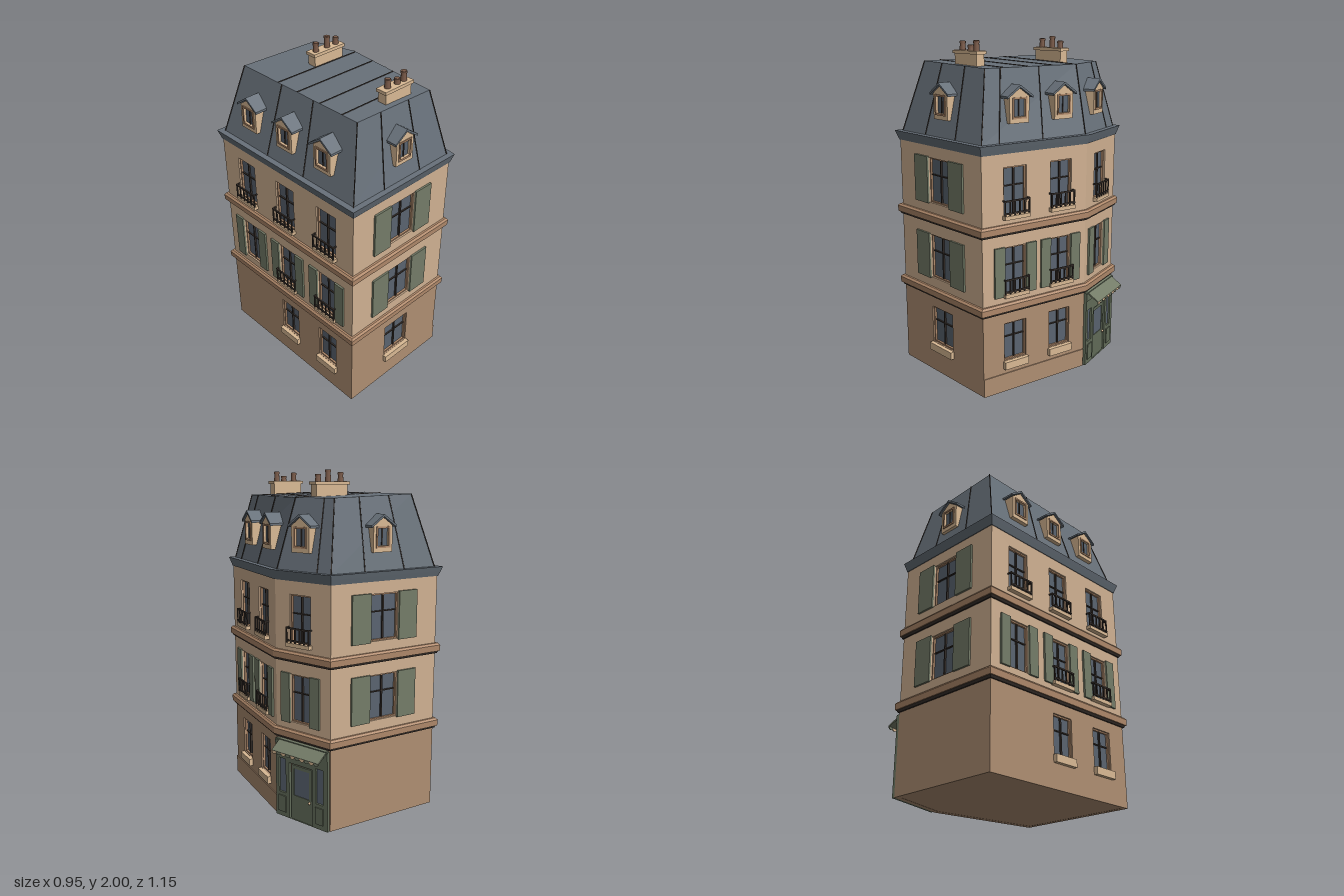
import * as THREE from 'three';

const mat = (name, color, side = THREE.FrontSide) => {
  const m = new THREE.MeshStandardMaterial({ color, side });
  m.name = name;
  return m;
};
const M = {
  wall: mat('upper plaster', 0xd0b192),
  lower: mat('ground floor stone', 0xae8e72),
  band: mat('moulding', 0xb28b6c),
  roof: mat('slate', 0x68717a),
  shutter: mat('shutter green', 0x747c68),
  shop: mat('shop green', 0x626c59),
  glass: mat('glass', 0x5a6470),
  iron: mat('dark iron', 0x3a322d),
  trim: mat('cream trim', 0xd9b994),
  pot: mat('clay', 0x7a5a48),
};

// Footprint as [x, z], running front, right (two segments), back, left
const FOOT = [[-0.455, 0.55], [0.305, 0.55], [0.40, -0.165], [0.28, -0.55], [-0.455, -0.55]];
const topY = (x) => 1.865 - (x + 0.33) * 0.03;
const TOP = [[-0.33, 0.445], [0.215, 0.445], [0.278, -0.19], [0.194, -0.45], [-0.33, -0.45]]
  .map(([x, z]) => [x, topY(x), z]);

function normal(i) {
  const a = FOOT[i % 5], b = FOOT[(i + 1) % 5];
  const l = Math.hypot(b[0] - a[0], b[1] - a[1]);
  return [-(b[1] - a[1]) / l, (b[0] - a[0]) / l];
}
// Footprint grown by d, at height y
function ring(d, y) {
  return FOOT.map(([x, z], i) => {
    const n = normal(i), m = normal(i + 4), k = d / (1 + n[0] * m[0] + n[1] * m[1]);
    return [x + (n[0] + m[0]) * k, y, z + (n[1] + m[1]) * k];
  });
}
// Flat-sided solid through rings, capped at both ends
function loft(rings) {
  const p = [], n = rings[0].length, first = rings[0], last = rings[rings.length - 1];
  for (let r = 0; r + 1 < rings.length; r++) {
    for (let i = 0; i < n; i++) {
      const j = (i + 1) % n, a = rings[r][i], b = rings[r][j], c = rings[r + 1][j], d = rings[r + 1][i];
      p.push(...a, ...b, ...c, ...a, ...c, ...d);
    }
  }
  for (let i = 1; i + 1 < n; i++) {
    p.push(...first[0], ...first[i + 1], ...first[i], ...last[0], ...last[i], ...last[i + 1]);
  }
  const g = new THREE.BufferGeometry();
  g.setAttribute('position', new THREE.Float32BufferAttribute(p, 3));
  g.computeVertexNormals();
  return g;
}
function add(parent, name, geo, material, x = 0, y = 0, z = 0) {
  const m = new THREE.Mesh(geo, material);
  m.name = name;
  m.position.set(x, y, z);
  parent.add(m);
  return m;
}
const box = (parent, name, material, w, h, d, x, y, z) =>
  add(parent, name, new THREE.BoxGeometry(w, h, d), material, x, y, z);
const poly = (pts) => new THREE.Shape(pts.map(([x, y]) => new THREE.Vector2(x, y)));
const rect = (x0, y0, x1, y1) => [[x0, y0], [x1, y0], [x1, y1], [x0, y1]];
// Plate with openings, its outer face at z = front
function plate(parent, name, material, outline, holes, depth, front) {
  const s = poly(outline);
  s.holes = holes.map((h) => poly([...h].reverse()));
  return add(parent, name, new THREE.ExtrudeGeometry(s, { depth, bevelEnabled: false }), material, 0, 0, front - depth);
}
// Thin raised rib between two points
function rib(parent, p, q) {
  const a = new THREE.Vector3(...p), b = new THREE.Vector3(...q);
  const m = add(parent, 'roofSeam', new THREE.CylinderGeometry(0.004, 0.004, a.distanceTo(b), 4), M.iron);
  m.position.copy(a).lerp(b, 0.5);
  m.quaternion.setFromUnitVectors(new THREE.Vector3(0, 1, 0), b.sub(a).normalize());
}

// Window set in an opening: w = { u, y0, y1, w, shutter, rail, sill }
function addWindow(face, w) {
  const g = new THREE.Group(), h = w.y1 - w.y0;
  g.name = 'window';
  g.position.set(w.u, w.y0, 0);
  face.add(g);
  box(g, 'pane', M.glass, w.w + 0.02, h + 0.02, 0.006, 0, h / 2, -0.026);
  plate(g, 'windowFrame', M.band, rect(-w.w / 2, 0, w.w / 2, h),
    [rect(-w.w / 2 + 0.008, 0.008, w.w / 2 - 0.008, h - 0.008)], 0.012, -0.01);
  box(g, 'mullion', M.iron, 0.009, h, 0.01, 0, h / 2, -0.018);
  box(g, 'glazingBar', M.iron, w.w, 0.007, 0.008, 0, h * 0.62, -0.019);
  if (w.shutter) {
    for (const s of [-1, 1]) {
      box(g, 'shutter', M.shutter, w.shutter, h + 0.012, 0.012, s * (w.w + w.shutter) / 2, h / 2, 0.006);
    }
  }
  if (w.sill) box(g, 'sill', M.trim, w.w + 0.015, 0.045, 0.035, 0, -0.024, 0.006);
  if (w.rail) {
    const rw = w.w + 0.02;
    box(g, 'balconyBase', M.trim, rw, 0.022, 0.03, 0, 0, 0.014);
    for (const y of [0.025, 0.095]) box(g, 'handrail', M.iron, rw, 0.009, 0.008, 0, y, 0.024);
    for (let i = 0; i < 6; i++) {
      box(g, 'baluster', M.iron, 0.007, 0.09, 0.007, (i / 5 - 0.5) * (rw - 0.008), 0.052, 0.024);
    }
    for (const s of [-1, 1]) box(g, 'railReturn', M.iron, 0.007, 0.009, 0.026, s * (rw / 2 - 0.004), 0.095, 0.011);
  }
}

// Gabled dormer
function addDormer(face, u) {
  const g = new THREE.Group();
  g.name = 'dormer';
  g.position.set(u, 1.555, 0);
  face.add(g);
  const opening = rect(-0.037, 0.035, 0.037, 0.13);
  plate(g, 'dormerBody', M.trim, [[-0.064, 0], [0.064, 0], [0.064, 0.145], [0, 0.19], [-0.064, 0.145]], [opening], 0.11, -0.015);
  plate(g, 'dormerSurround', M.band, rect(-0.047, 0.024, 0.047, 0.14), [opening], 0.008, -0.01);
  box(g, 'dormerPane', M.glass, 0.076, 0.097, 0.006, 0, 0.0825, -0.03);
  box(g, 'dormerMullion', M.iron, 0.006, 0.095, 0.006, 0, 0.0825, -0.025);
  plate(g, 'dormerRoof', M.roof, [[-0.084, 0.135], [0, 0.193], [0.084, 0.135], [0.084, 0.148], [0, 0.207], [-0.084, 0.148]], [], 0.125, -0.004);
}

// Shop front with door, side panes and awning
function addShop(face) {
  const g = new THREE.Group();
  g.name = 'shopFront';
  face.add(g);
  const panes = [rect(0.03, 0.15, 0.083, 0.36), rect(0.312, 0.15, 0.365, 0.36)];
  const door = rect(0.11, 0.001, 0.285, 0.345);
  plate(g, 'shopPanel', M.shop, rect(0.006, 0, 0.398, 0.475), [...panes, door], 0.018, 0.018);
  for (const x of [0.0565, 0.3385]) {
    box(g, 'shopPane', M.glass, 0.054, 0.211, 0.004, x, 0.255, 0.004);
    box(g, 'shopStallPanel', M.shop, 0.058, 0.1, 0.008, x, 0.08, 0.02);
  }
  plate(g, 'door', M.shop, rect(0.12, 0, 0.275, 0.335), [rect(0.14, 0.15, 0.255, 0.315)], 0.008, 0.01);
  box(g, 'doorGlass', M.glass, 0.116, 0.166, 0.004, 0.1975, 0.2325, 0.004);
  add(g, 'doorKnob', new THREE.SphereGeometry(0.008, 8, 6), M.trim, 0.262, 0.135, 0.016);
  box(g, 'fascia', M.shop, 0.392, 0.045, 0.02, 0.202, 0.445, 0.012);
  const awning = box(g, 'awning', M.shutter, 0.35, 0.008, 0.098, 0.21, 0.449, 0.042);
  awning.rotation.x = 0.6;
  for (let i = 0; i < 10; i++) {
    const s = new THREE.CylinderGeometry(0.0175, 0.0175, 0.006, 10, 1, false, -Math.PI / 2, Math.PI);
    const m = add(g, 'awningScallop', s, i % 2 ? M.shutter : M.trim, 0.0525 + i * 0.035, 0.422, 0.08);
    m.rotation.x = Math.PI / 2;
  }
}

// Chimney stack with three pots
function addChimney(parent, x, z, w, pots) {
  const g = new THREE.Group();
  g.name = 'chimney';
  g.position.set(x, 0, z);
  parent.add(g);
  box(g, 'stack', M.trim, w - 0.02, 0.09, 0.055, 0, 1.875, 0);
  box(g, 'stackCap', M.trim, w, 0.018, 0.07, 0, 1.925, 0);
  pots.forEach(([px, top]) => {
    const h = top - 1.93;
    add(g, 'chimneyPot', new THREE.CylinderGeometry(0.014, 0.018, h, 10), M.pot, px - x, 1.93 + h / 2, 0);
    add(g, 'potRim', new THREE.CylinderGeometry(0.018, 0.018, 0.012, 10), M.pot, px - x, top - 0.008, 0);
  });
}

export function createModel() {
  const root = new THREE.Group();
  root.name = 'townhouse';

  // Window layout per facade: positions along the wall, seen from outside
  const ends = (u) => [
    { u, y0: 0.605, y1: 0.87, w: 0.195, shutter: 0.127 },
    { u, y0: 1.065, y1: 1.33, w: 0.195, shutter: 0.127 }];
  const ground = (u, w = 0.15) => ({ u, y0: 0.188, y1: 0.418, w, sill: true });
  const side = (u, rail) => [
    { u, y0: 0.59, y1: 0.87, w: 0.148, shutter: 0.068, rail },
    { u, y0: 1.045, y1: 1.325, w: 0.15, rail: true }];
  const facades = [
    { name: 'frontFacade', wins: [...ends(0.38), ground(0.38, 0.195)], dormers: [0.39], seams: [0.31, 0.69] },
    { name: 'streetFacade', wins: [...side(0.217, true), ...side(0.535, true), ground(0.217), ground(0.535)], dormers: [0.257, 0.56], seams: [0.16, 0.57] },
    { name: 'shopFacade', wins: side(0.185, false), dormers: [0.175], seams: [0.75], shop: true },
    { name: 'backFacade', wins: ends(0.357), dormers: [0.35], seams: [0.31, 0.69] },
    { name: 'leftFacade', wins: [...side(0.21, false), ...side(0.55, true), ...side(0.89, true), ground(0.55), ground(0.89)], dormers: [0.25, 0.55, 0.85], seams: [0.36, 0.64] },
  ];
  const storeys = [[0, 0.5, M.lower], [0.5, 0.96, M.wall], [0.96, 1.42, M.wall]];
  const eave = ring(-0.012, 1.452);
  const mix = (a, b, t) => a.map((v, k) => v + (b[k] - v) * t);

  facades.forEach((f, i) => {
    const a = FOOT[i], b = FOOT[(i + 1) % 5], dx = b[0] - a[0], dz = b[1] - a[1], len = Math.hypot(dx, dz);
    const face = new THREE.Group();
    face.name = f.name;
    face.position.set(a[0], 0, a[1]);
    face.rotation.y = Math.atan2(-dz, dx);
    root.add(face);
    for (const [y0, y1, m] of storeys) {
      const holes = f.wins.filter((w) => w.y0 > y0 && w.y1 < y1)
        .map((w) => rect(w.u - w.w / 2, w.y0, w.u + w.w / 2, w.y1));
      plate(face, 'wall', m, rect(0, y0, len, y1), holes, 0.03, 0);
    }
    f.wins.forEach((w) => addWindow(face, w));
    f.dormers.forEach((u) => addDormer(face, u));
    if (f.shop) addShop(face);
    if (i === 1) box(face, 'plinth', M.lower, len, 0.11, 0.012, len / 2, 0.055, 0);
    const j = (i + 1) % 5;
    f.seams.forEach((t) => rib(root, mix(eave[i], eave[j], t), mix(TOP[i], TOP[j], t)));
    rib(root, eave[i], TOP[i]);
  });

  // Underside and string courses
  add(root, 'floor', loft([ring(-0.002, 0.001), ring(-0.002, 0.02)]), M.lower);
  for (const y of [0.483, 0.943]) {
    add(root, 'shadowMoulding', loft([ring(0.008, y), ring(0.014, y + 0.014)]), M.iron);
    add(root, 'stringCourse', loft([ring(0.02, y + 0.014), ring(0.022, y + 0.05), ring(0.012, y + 0.062)]), M.band);
  }

  // Eave and mansard roof
  add(root, 'eave', loft([ring(0.004, 1.4), ring(0.014, 1.43), ring(0.022, 1.455)]), M.roof);
  add(root, 'mansardRoof', loft([eave, TOP]), M.roof);
  for (const [z, x] of [[-0.165, 0.27], [-0.01, 0.255], [0.165, 0.24], [0.33, 0.222]]) {
    rib(root, [-0.33, topY(-0.33), z + 0.005], [x, topY(x), z - 0.01]);
  }

  addChimney(root, 0.06, -0.2, 0.232, [[-0.015, 1.985], [0.07, 2.0], [0.137, 1.975]]);
  addChimney(root, 0.008, 0.382, 0.212, [[-0.05, 1.985], [0.022, 1.965], [0.072, 1.99]]);
  return root;
}
